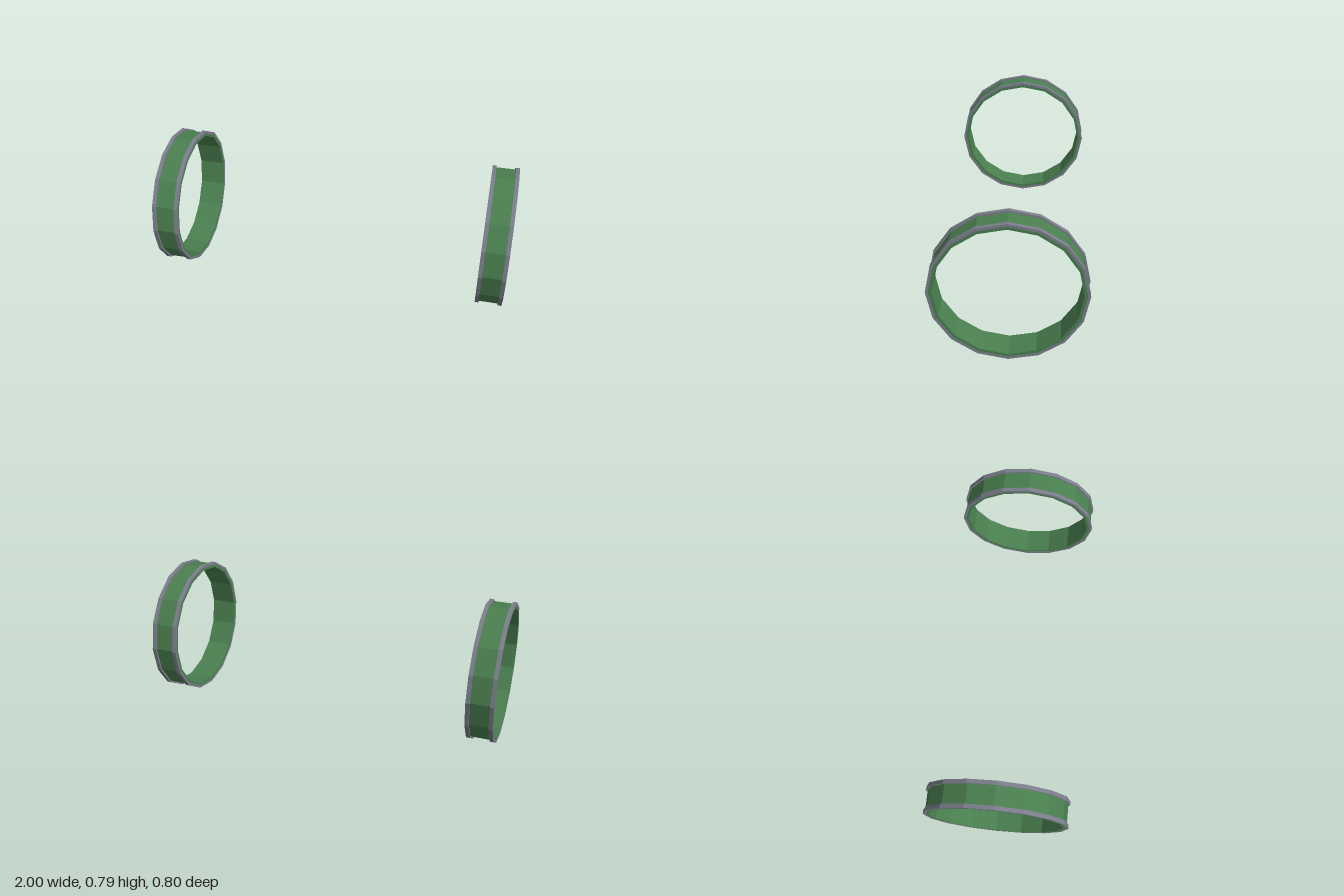
import * as THREE from 'three';

const SIDES = 16;
const RY = 0.394, RZ = 0.402; // outer half height and half depth

const green = new THREE.MeshStandardMaterial({ color: 0x4a8050, flatShading: true });
const grey = new THREE.MeshStandardMaterial({ color: 0x7c7f8c, flatShading: true });

// Faceted hoop around the x axis with a rectangular section
function hoop(name, inset, thickness, width, material) {
  const outline = (d) => Array.from({ length: SIDES }, (_, i) => {
    const a = (i / SIDES) * Math.PI * 2;
    return new THREE.Vector2((RZ - d) * Math.cos(a), (RY - d) * Math.sin(a));
  });
  const shape = new THREE.Shape(outline(inset));
  shape.holes.push(new THREE.Path(outline(inset + thickness)));
  const geometry = new THREE.ExtrudeGeometry(shape, { depth: width, bevelEnabled: false });
  geometry.translate(0, 0, -width / 2);
  geometry.rotateY(Math.PI / 2);
  const mesh = new THREE.Mesh(geometry, material);
  mesh.name = name;
  return mesh;
}

// Flat band with a raised rim along each edge
function bandedRing(name) {
  const ring = new THREE.Group();
  ring.name = name;
  ring.add(hoop('band', 0.01, 0.021, 0.148, green));
  for (const s of [-1, 1]) {
    const rim = hoop(s < 0 ? 'rightRim' : 'leftRim', 0, 0.015, 0.022, grey);
    rim.position.x = s * 0.064;
    ring.add(rim);
  }
  return ring;
}

export function createModel() {
  const model = new THREE.Group();
  model.name = 'ringPair';
  for (const s of [-1, 1]) {
    const ring = bandedRing(s < 0 ? 'rightRing' : 'leftRing');
    ring.position.set(s * 0.925, RY, 0);
    model.add(ring);
  }
  return model;
}
